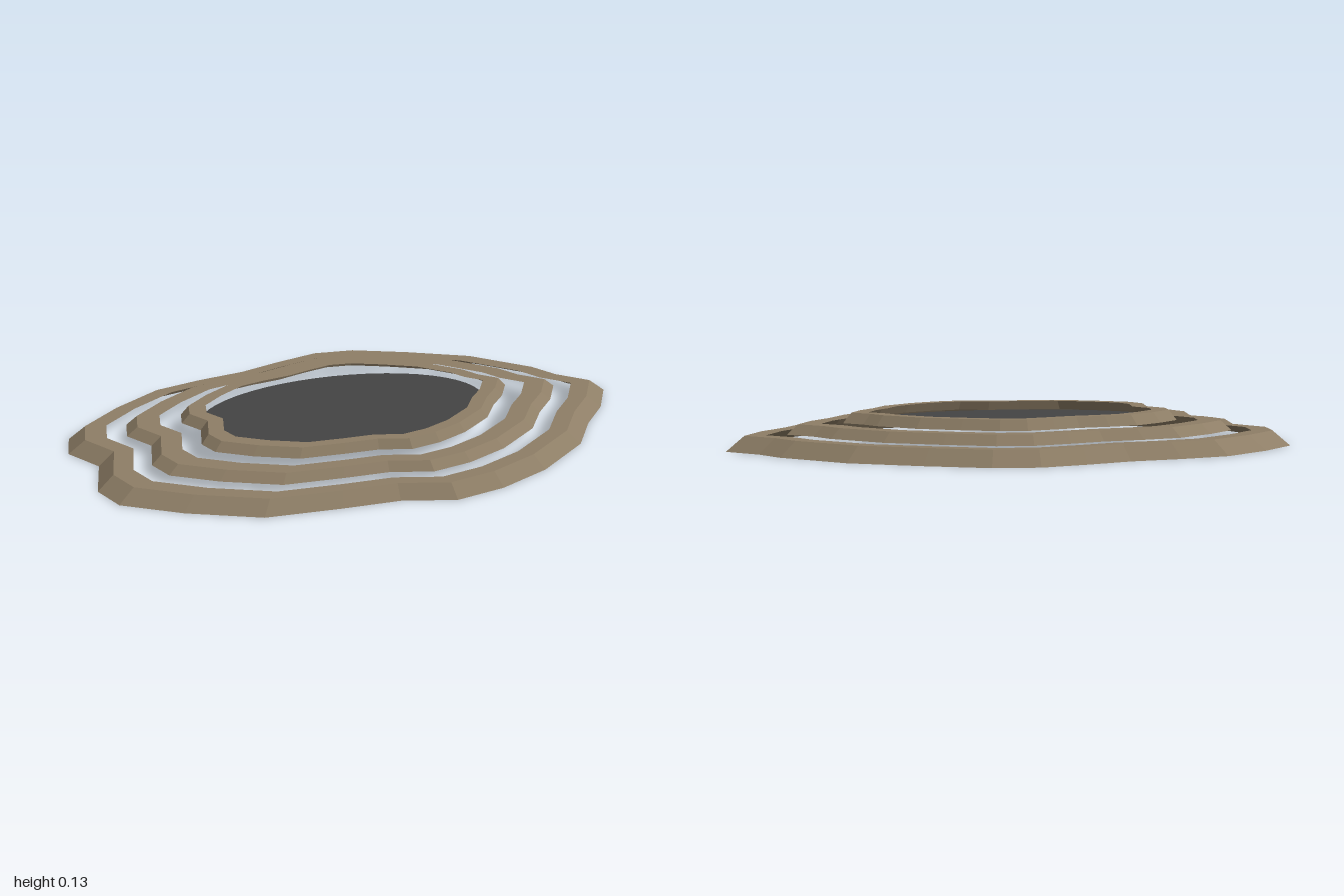
import * as THREE from 'three';

// Irregular outline shared by all terraces, [x, z], clockwise seen from above
const OUTLINE = [
  [-0.06, -0.47], [0.1, -0.465], [0.32, -0.41], [0.57, -0.335], [0.8, -0.21], [0.88, -0.14],
  [1, -0.075], [0.95, 0.03], [0.87, 0.12], [0.8, 0.235], [0.63, 0.355], [0.46, 0.425],
  [0.29, 0.46], [0.1, 0.43], [-0.1, 0.435], [-0.36, 0.435], [-0.62, 0.365], [-0.83, 0.285],
  [-0.9, 0.2], [-0.895, 0.06], [-1, -0.03], [-1, -0.12], [-0.88, -0.22], [-0.72, -0.315],
  [-0.55, -0.355], [-0.37, -0.385], [-0.22, -0.43],
];

// Strip between two scaled copies of the outline
function strip(lowScale, lowY, highScale, highY, material, name) {
  const pos = [];
  const at = (i, s, y) => {
    const [x, z] = OUTLINE[i % OUTLINE.length];
    return [x * s, y, z * s];
  };
  for (let i = 0; i < OUTLINE.length; i++) {
    const a = at(i, lowScale, lowY), b = at(i + 1, lowScale, lowY);
    const c = at(i + 1, highScale, highY), d = at(i, highScale, highY);
    pos.push(...a, ...c, ...b, ...a, ...d, ...c);
  }
  const geo = new THREE.BufferGeometry();
  geo.setAttribute('position', new THREE.Float32BufferAttribute(pos, 3));
  geo.computeVertexNormals();
  const mesh = new THREE.Mesh(geo, material);
  mesh.name = name;
  return mesh;
}

export function createModel() {
  const group = new THREE.Group();
  group.name = 'terracedPit';
  const earth = new THREE.MeshStandardMaterial({ name: 'earth', color: 0x8f7f67, side: THREE.DoubleSide, flatShading: true });
  const floorGrey = new THREE.MeshStandardMaterial({ name: 'floorGrey', color: 0x444444, side: THREE.DoubleSide });

  // Three terraces: sloped outer bank and flat ledge
  const terraces = [
    { foot: 1, crest: 0.935, inner: 0.86, y0: 0, y1: 0.055 },
    { foot: 0.79, crest: 0.75, inner: 0.67, y0: 0.055, y1: 0.091 },
    { foot: 0.595, crest: 0.565, inner: 0.505, y0: 0.091, y1: 0.128 },
  ];
  terraces.forEach((t, i) => {
    const terrace = new THREE.Group();
    terrace.name = `terrace${i + 1}`;
    terrace.add(strip(t.foot, t.y0, t.crest, t.y1, earth, 'bank'));
    terrace.add(strip(t.crest, t.y1, t.inner, t.y1, earth, 'ledge'));
    group.add(terrace);
  });

  // Oval floor in the middle
  const floor = new THREE.Mesh(new THREE.CircleGeometry(1, 48).rotateX(-Math.PI / 2), floorGrey);
  floor.name = 'floor';
  floor.scale.set(0.515, 1, 0.215);
  floor.position.set(-0.02, 0.096, 0.006);
  group.add(floor);
  return group;
}
